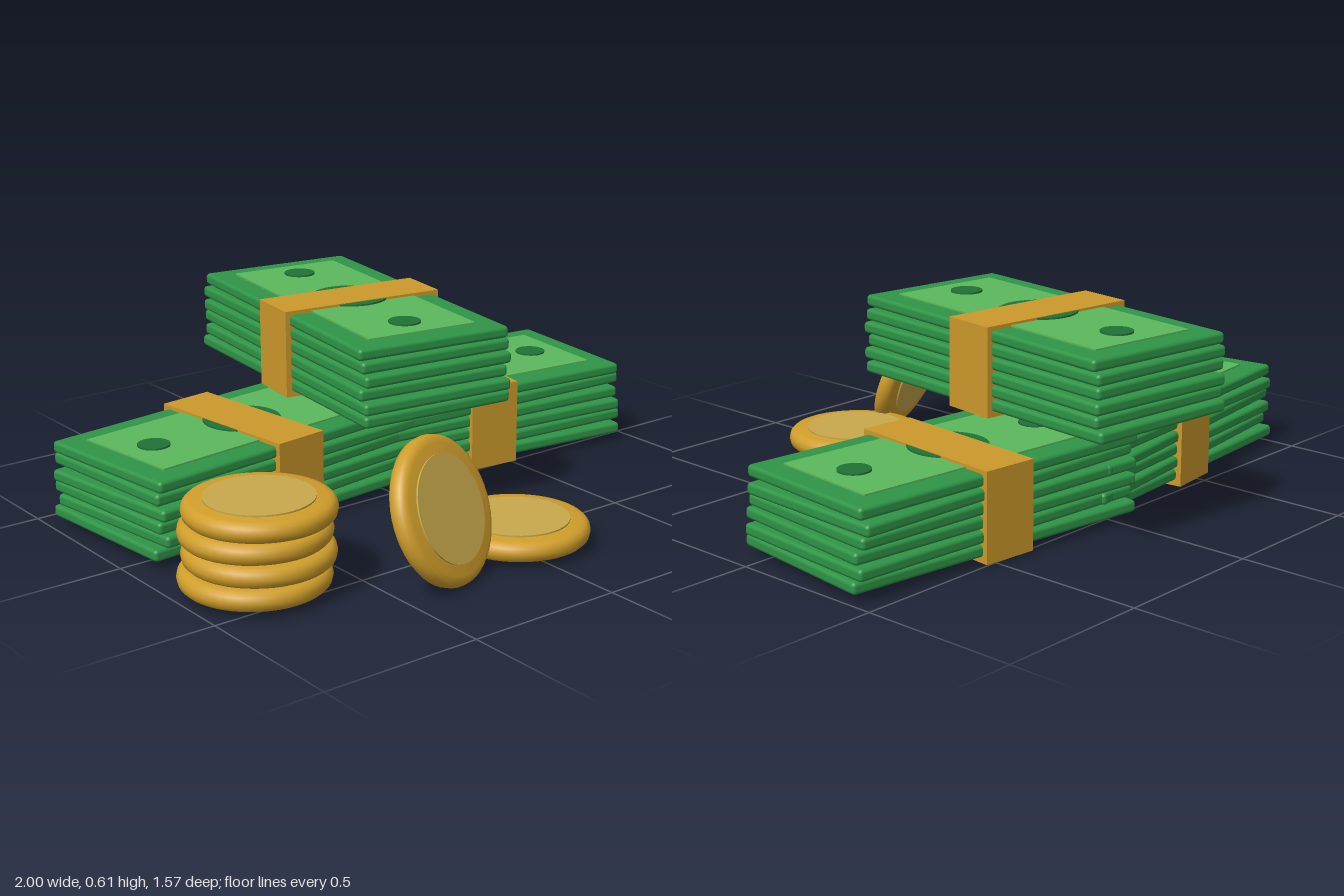
import * as THREE from 'three';
import { RoundedBoxGeometry } from 'three/addons/geometries/RoundedBoxGeometry.js';
import { toCreasedNormals } from 'three/addons/utils/BufferGeometryUtils.js';

const paint = (name, color) => {
  const m = new THREE.MeshStandardMaterial({ color });
  m.name = name;
  return m;
};

export function createModel() {
  const model = new THREE.Group();
  model.name = 'moneyPile';

  const billGreen = paint('billGreen', 0x2f9447);
  const panelGreen = paint('panelGreen', 0x5cb85c);
  const sealGreen = paint('sealGreen', 0x1f7236);
  const bandGold = paint('bandGold', 0xcc982b);
  const coinGold = paint('coinGold', 0xd09e2b);
  const faceGold = paint('faceGold', 0xc8a94b);

  const add = (parent, name, geometry, material, x = 0, y = 0, z = 0) => {
    const mesh = new THREE.Mesh(geometry, material);
    mesh.name = name;
    mesh.position.set(x, y, z);
    parent.add(mesh);
    return mesh;
  };

  // Shared bill shapes
  const billGeo = new RoundedBoxGeometry(1.06, 0.037, 0.52, 2, 0.012);
  const panelGeo = new THREE.BoxGeometry(0.91, 0.006, 0.37);
  const portraitGeo = new THREE.CylinderGeometry(0.122, 0.122, 0.009, 32);
  const sealGeo = new THREE.CylinderGeometry(0.05, 0.05, 0.009, 24);
  const bandGeo = new THREE.BoxGeometry(0.178, 0.277, 0.55);

  // A bundle: six slightly fanned bills, printed top and paper band
  function bundle(name, x, y, z, angle, turns, shifts) {
    const g = new THREE.Group();
    g.name = name;
    g.position.set(x, y, z);
    g.rotation.y = angle;
    turns.forEach((turn, i) => {
      const bill = add(g, 'bill', billGeo, billGreen, shifts[i], 0.036 + i * 0.042, 0);
      bill.rotation.y = turn;
    });
    const print = new THREE.Group();
    print.name = 'billPrint';
    print.rotation.y = turns[5];
    print.position.set(shifts[5], 0.2645, 0);
    add(print, 'billPanel', panelGeo, panelGreen, 0, 0.002, 0);
    add(print, 'portrait', portraitGeo, sealGreen, 0, 0.006, 0);
    for (const s of [-1, 1]) add(print, 'seal', sealGeo, sealGreen, s * 0.346, 0.006, 0);
    g.add(print);
    add(g, 'paperBand', bandGeo, bandGold, 0, 0.1385, 0);
    model.add(g);
  }

  bundle('rightBundle', -0.425, 0.021, -0.217, 0.122,
    [-0.03, 0.02, -0.01, 0.025, -0.025, 0], [-0.005, 0.008, 0, -0.008, 0.005, 0]);
  bundle('leftBundle', 0.436, 0.021, -0.25, -0.1,
    [-0.025, 0.02, -0.015, 0.01, 0.05, 0], [0.006, 0.012, 0.004, -0.005, 0.005, -0.005]);
  bundle('topBundle', 0, 0.344, -0.222, 1.432,
    [0.035, 0.025, 0.01, 0.03, 0.02, 0], [0.006, -0.006, 0.008, -0.004, 0.004, 0]);

  // Coin: rounded rim with a thin inset face on both sides
  const rimProfile = [
    [0, -0.031], [0.192, -0.031], [0.207, -0.027], [0.217, -0.017], [0.221, 0],
    [0.217, 0.017], [0.207, 0.027], [0.192, 0.031], [0, 0.031],
  ].map(([r, y]) => new THREE.Vector2(r, y));
  const rimGeo = toCreasedNormals(new THREE.LatheGeometry(rimProfile, 48), 0.7);
  const faceGeo = new THREE.CylinderGeometry(0.16, 0.16, 0.008, 40);

  function coin(name, x, y, z) {
    const g = new THREE.Group();
    g.name = name;
    g.position.set(x, y, z);
    add(g, 'coinRim', rimGeo, coinGold);
    for (const s of [-1, 1]) add(g, 'coinFace', faceGeo, faceGold, 0, s * 0.032, 0);
    model.add(g);
    return g;
  }

  // Stack of four coins
  [[-0.778, 0.368], [-0.765, 0.372], [-0.772, 0.366], [-0.766, 0.38]].forEach(([x, z], i) =>
    coin('stackedCoin', x, 0.062 + i * 0.0667, z));

  // Loose coins: one flat, one leaning back
  coin('flatCoin', 0.03, 0.063, 0.56);
  const leaning = coin('leaningCoin', -0.315, 0.218, 0.628);
  leaning.quaternion.setFromUnitVectors(
    new THREE.Vector3(0, 1, 0), new THREE.Vector3(0.32, 0.37, 0.87).normalize());

  return model;
}
